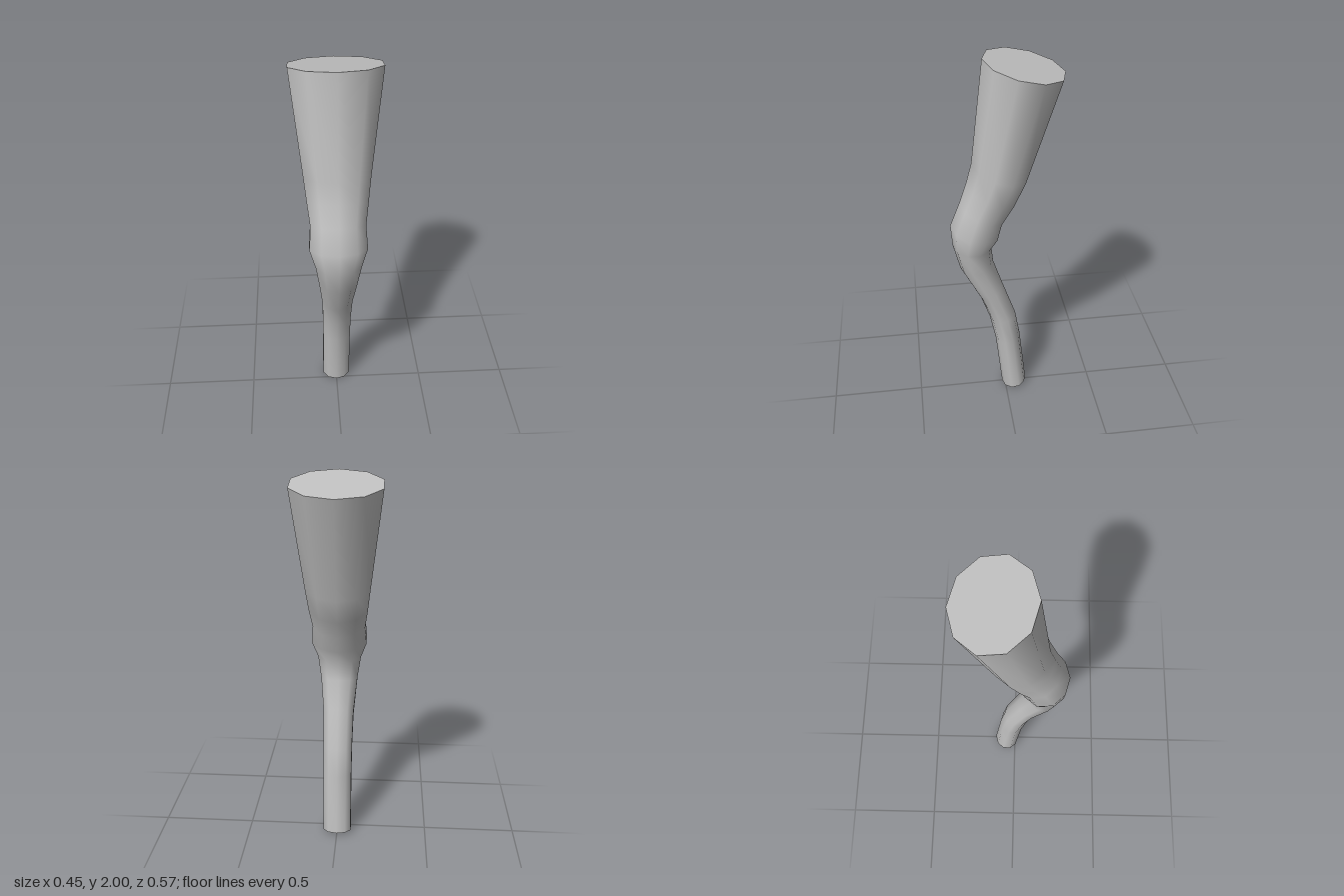
import * as THREE from 'three';

const SIDES = 10;

// Cross-sections from top to bottom: front z, front y, back z, back y, half-width in x
const SECTIONS = [
  [0.107, 2.0, -0.287, 1.92, 0.225],
  [0.168, 1.47, -0.117, 1.385, 0.166],
  [0.197, 1.36, -0.058, 1.253, 0.153],
  [0.234, 1.25, 0.005, 1.147, 0.139],
  [0.285, 1.12, 0.026, 1.06, 0.147],
  [0.277, 1.0, 0.074, 0.988, 0.117],
  [0.24, 0.85, 0.064, 0.882, 0.099],
  [0.132, 0.638, 0.016, 0.734, 0.082],
  [0.085, 0.5, -0.058, 0.518, 0.078],
  [0.053, 0.347, -0.085, 0.363, 0.077],
  [0.016, 0.0, -0.122, 0.022, 0.077],
];

// Tilted ten-sided ring with corners at its front and back
function ring([fz, fy, bz, by, halfWidth]) {
  const rx = halfWidth / Math.cos(Math.PI / SIDES);
  return Array.from({ length: SIDES }, (_, j) => {
    const a = (j / SIDES) * Math.PI * 2;
    const t = (1 + Math.cos(a)) / 2;
    return [rx * Math.sin(a), by + (fy - by) * t, bz + (fz - bz) * t];
  });
}

function buildGeometry(points, index) {
  const geometry = new THREE.BufferGeometry();
  geometry.setAttribute('position', new THREE.Float32BufferAttribute(points.flat(), 3));
  geometry.setIndex(index);
  geometry.computeVertexNormals();
  return geometry;
}

// Smooth skin running through all rings
function skinGeometry(rings) {
  const index = [];
  for (let i = 0; i < rings.length - 1; i++) {
    for (let j = 0; j < SIDES; j++) {
      const k = (j + 1) % SIDES;
      const a = i * SIDES + j, b = a + SIDES;
      const d = i * SIDES + k, c = d + SIDES;
      index.push(a, b, c, a, c, d);
    }
  }
  return buildGeometry(rings.flat(), index);
}

// Flat end closing one ring
function capGeometry(points, facesUp) {
  const index = [];
  for (let j = 1; j < SIDES - 1; j++) {
    index.push(0, ...(facesUp ? [j, j + 1] : [j + 1, j]));
  }
  return buildGeometry(points, index);
}

export function createModel() {
  const model = new THREE.Group();
  model.name = 'bentLeg';
  const grey = new THREE.MeshStandardMaterial({ color: 0xc0c0c0 });
  grey.name = 'light grey';

  const rings = SECTIONS.map(ring);
  const add = (name, geometry) => {
    const mesh = new THREE.Mesh(geometry, grey);
    mesh.name = name;
    model.add(mesh);
  };

  add('legSkin', skinGeometry(rings));
  add('topCap', capGeometry(rings[0], true));
  add('bottomCap', capGeometry(rings[rings.length - 1], false));
  return model;
}
